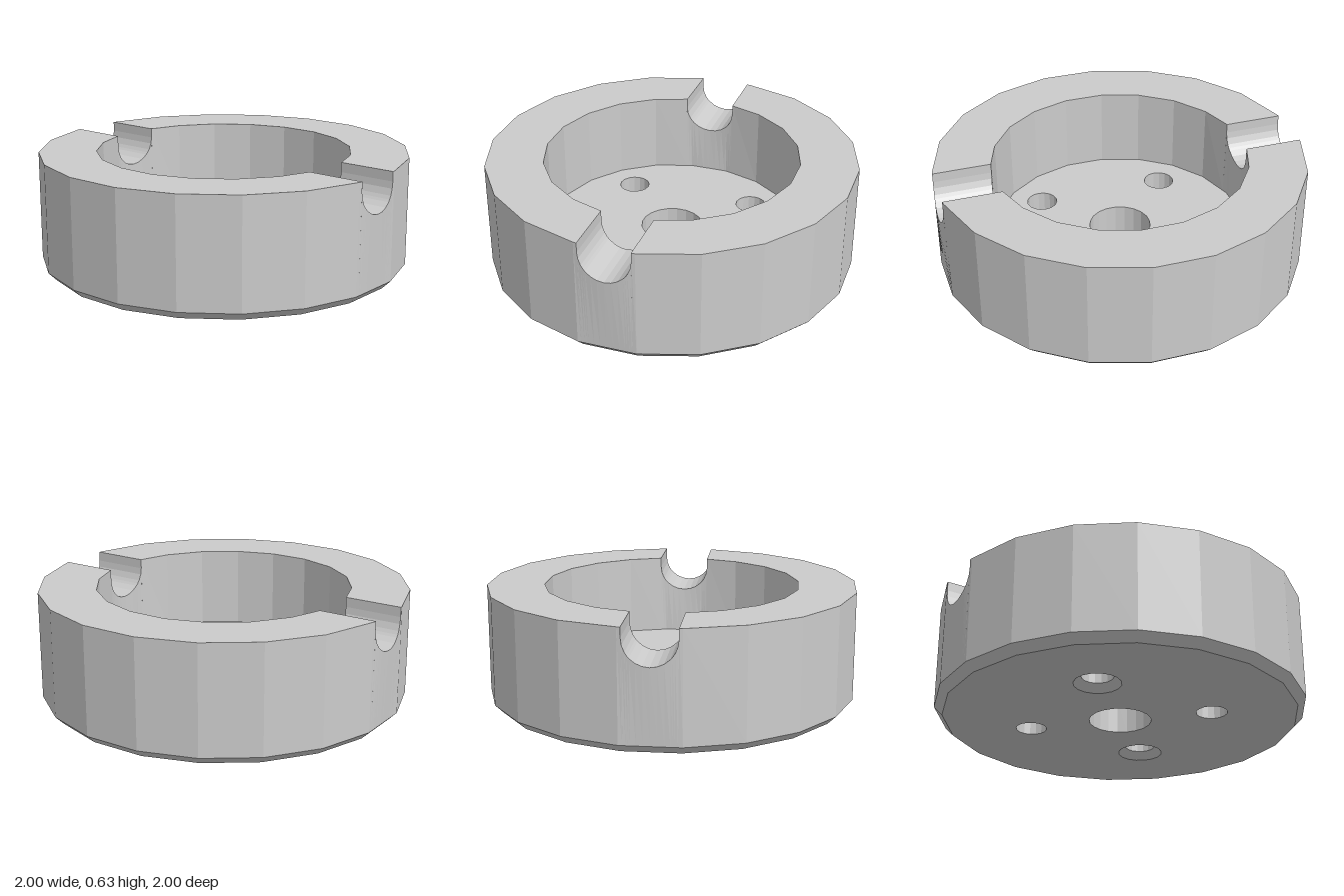
import * as THREE from 'three';

const H = 0.63, FLOOR = 0.19, CHAMFER = 0.045;   // heights
const RO = 1, RI = 0.69;                         // outer and inner wall radius
const NOTCH_R = 0.138, NOTCH_Y = 0.578;          // round-bottomed notch
const STEP = Math.PI / 10;                       // 20-sided walls

const material = new THREE.MeshStandardMaterial({ color: 0xcccccc, flatShading: true });

// Radius of a 20-sided polygon at a given angle
function polyRadius(r, t) {
  const local = ((t % STEP) + STEP) % STEP - STEP / 2;
  return r * Math.cos(STEP / 2) / Math.cos(local);
}

const at = (r, t, y) => new THREE.Vector3(r * Math.cos(t), y, r * Math.sin(t));

// One radial section, from the bottom edge over the rim down to the floor
function section(to, ti, top) {
  const ro = polyRadius(RO, to);
  return [
    at(ro * (1 - CHAMFER), to, 0),
    at(ro, to, CHAMFER),
    at(RO, to, top),
    at(RI, ti, top),
    at(polyRadius(RI, ti), ti, FLOOR),
  ];
}

// All sections round the ring; two opposite notches dip the rim
function ringSections() {
  const list = [];
  const widths = [];
  for (let i = 0; i <= 12; i++) widths.push(NOTCH_R * Math.sin((i / 12 - 0.5) * Math.PI));
  const corner = RI * Math.sin(STEP / 2);
  widths.push(-corner, corner);
  widths.sort((a, b) => a - b);
  const reach = Math.asin(NOTCH_R / RI);
  for (const start of [0, Math.PI]) {
    const mid = start + Math.PI / 4;
    for (let k = 0; k < 10; k++) {
      const t = start + k * STEP;
      const ti = k === 2 ? mid - reach : k === 3 ? mid + reach : t;
      list.push(section(t, ti, H));
      if (k !== 2) continue;
      const cut = (w, y) => list.push(section(mid + Math.asin(w / RO), mid + Math.asin(w / RI), y));
      cut(-NOTCH_R, H);
      for (const w of widths) cut(w, NOTCH_Y - Math.sqrt(Math.max(0, NOTCH_R ** 2 - w * w)));
      cut(NOTCH_R, H);
    }
  }
  return list;
}

// Skin between neighbouring sections
function skin(sections) {
  const pts = [];
  sections.forEach((s, i) => {
    const n = sections[(i + 1) % sections.length];
    for (let j = 0; j < s.length - 1; j++) {
      pts.push(s[j], s[j + 1], n[j + 1], s[j], n[j + 1], n[j]);
    }
  });
  const g = new THREE.BufferGeometry().setFromPoints(pts);
  g.computeVertexNormals();
  return g;
}

// Flat plate with round holes, facing up or down
function plate(loop, y, holes, up) {
  const s = up ? -1 : 1;
  const shape = new THREE.Shape(loop.map(p => new THREE.Vector2(p.x, s * p.z)));
  for (const { x, z, r, n } of holes) {
    const ring = [];
    for (let i = 0; i < n; i++) {
      const a = i / n * Math.PI * 2;
      ring.push(new THREE.Vector2(x + r * Math.cos(a), s * z + r * Math.sin(a)));
    }
    shape.holes.push(new THREE.Path(ring));
  }
  return new THREE.ShapeGeometry(shape).rotateX(s * Math.PI / 2).translate(0, y, 0);
}

export function createModel() {
  const group = new THREE.Group();
  const add = (name, geometry) => {
    const mesh = new THREE.Mesh(geometry, material);
    mesh.name = name;
    group.add(mesh);
    return mesh;
  };

  // Centre bore, two plain holes and two countersunk from below
  const holes = [
    { name: 'centreBore', x: 0, z: 0, r: 0.168, n: 20 },
    { name: 'plainHole', x: 0, z: 0.5, r: 0.084, n: 16 },
    { name: 'plainHole', x: 0, z: -0.5, r: 0.084, n: 16 },
    { name: 'countersunkHole', x: 0.5, z: 0, r: 0.084, n: 16, sink: 0.124 },
    { name: 'countersunkHole', x: -0.5, z: 0, r: 0.084, n: 16, sink: 0.124 },
  ];

  // Notched ring wall
  const sections = ringSections();
  add('ringWall', skin(sections));

  // Recess floor and underside
  add('recessFloor', plate(sections.map(s => s[4]), FLOOR, holes, true));
  add('underside', plate(sections.map(s => s[0]), 0,
    holes.map(h => ({ ...h, r: h.sink ?? h.r })), false));

  // Hole walls, facing inward
  for (const { name, x, z, r, n, sink } of holes) {
    const profile = [new THREE.Vector2(r, FLOOR)];
    if (sink) profile.push(new THREE.Vector2(r, sink - r), new THREE.Vector2(sink, 0));
    else profile.push(new THREE.Vector2(r, 0));
    add(name, new THREE.LatheGeometry(profile, n)).position.set(x, 0, z);
  }
  return group;
}
